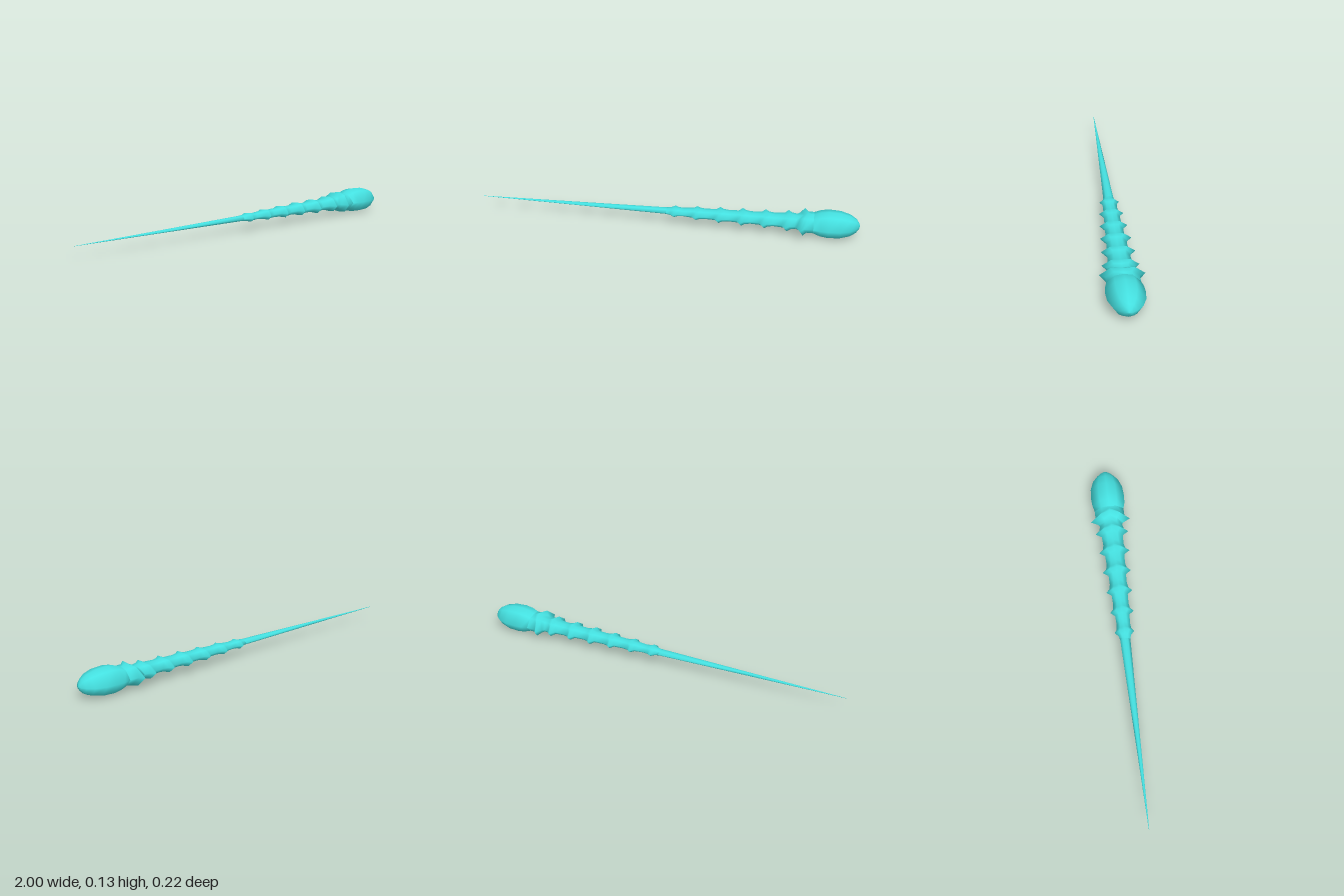
import * as THREE from 'three';

const AXIS_Y = 0.068;
// Eight-sided section as [z, y], from the top round through +z
const SECTION = [[0, 1], [0.52, 0.85], [1, 0], [0.6, -0.8], [0, -1], [-0.6, -0.8], [-1, 0], [-0.52, 0.85]];

// Skin a list of rings [x, half height, half width, sweep of the side points]
function loft(name, rings, material) {
  const n = SECTION.length, positions = [], index = [];
  for (const [x, h, w, sweep = 0] of rings) {
    for (const [z, y] of SECTION) positions.push(x - sweep * Math.abs(z), AXIS_Y + y * h, z * w);
  }
  for (let i = 0; i < rings.length - 1; i++) {
    for (let k = 0; k < n; k++) {
      const a = i * n + k, b = i * n + (k + 1) % n;
      index.push(a, b, a + n, b, b + n, a + n);
    }
  }
  const geometry = new THREE.BufferGeometry();
  geometry.setAttribute('position', new THREE.Float32BufferAttribute(positions, 3));
  geometry.setIndex(index);
  geometry.computeVertexNormals();
  const mesh = new THREE.Mesh(geometry, material);
  mesh.name = name;
  return mesh;
}

export function createModel() {
  const group = new THREE.Group();
  group.name = 'wand';
  const material = new THREE.MeshStandardMaterial({ color: 0x44e0e0, side: THREE.DoubleSide });

  // Long tapering shaft
  group.add(loft('shaft', [[-1, 0.0006, 0.001], [-0.5, 0.007, 0.014], [0, 0.014, 0.027]], material));

  // Grip with swept ridges: [x, base height, base width, ridge height, ridge width, sweep]
  const ridges = [
    [0.048, 0.017, 0.033, 0.023, 0.051, 0.008],
    [0.165, 0.022, 0.038, 0.027, 0.062, 0.01],
    [0.287, 0.024, 0.043, 0.031, 0.070, 0.014],
    [0.405, 0.026, 0.047, 0.035, 0.077, 0.015],
    [0.525, 0.028, 0.052, 0.037, 0.083, 0.017],
    [0.645, 0.031, 0.058, 0.042, 0.090, 0.022],
    [0.735, 0.040, 0.068, 0.057, 0.108, 0.036],
  ];
  const grip = [[0, 0.014, 0.027]];
  for (const [x, h, w, rh, rw, s] of ridges) {
    grip.push([x - 0.02, h, w, s]);
    grip.push([x, rh, rw, s]);
    grip.push([x + 0.018, h + (rh - h) * 0.35, w + (rw - w) * 0.3, s]);
    if (x < 0.7) grip.push([x + 0.045, h, w + 0.003, s]);
  }
  grip.push([0.765, 0.046, 0.08]);
  group.add(loft('grip', grip, material));

  // Rounded pommel
  group.add(loft('pommel', [
    [0.765, 0.046, 0.08], [0.8, 0.06, 0.089], [0.84, 0.067, 0.092], [0.9, 0.064, 0.088],
    [0.95, 0.051, 0.069], [0.98, 0.034, 0.042], [0.995, 0.015, 0.018], [1, 0, 0],
  ], material));
  return group;
}
